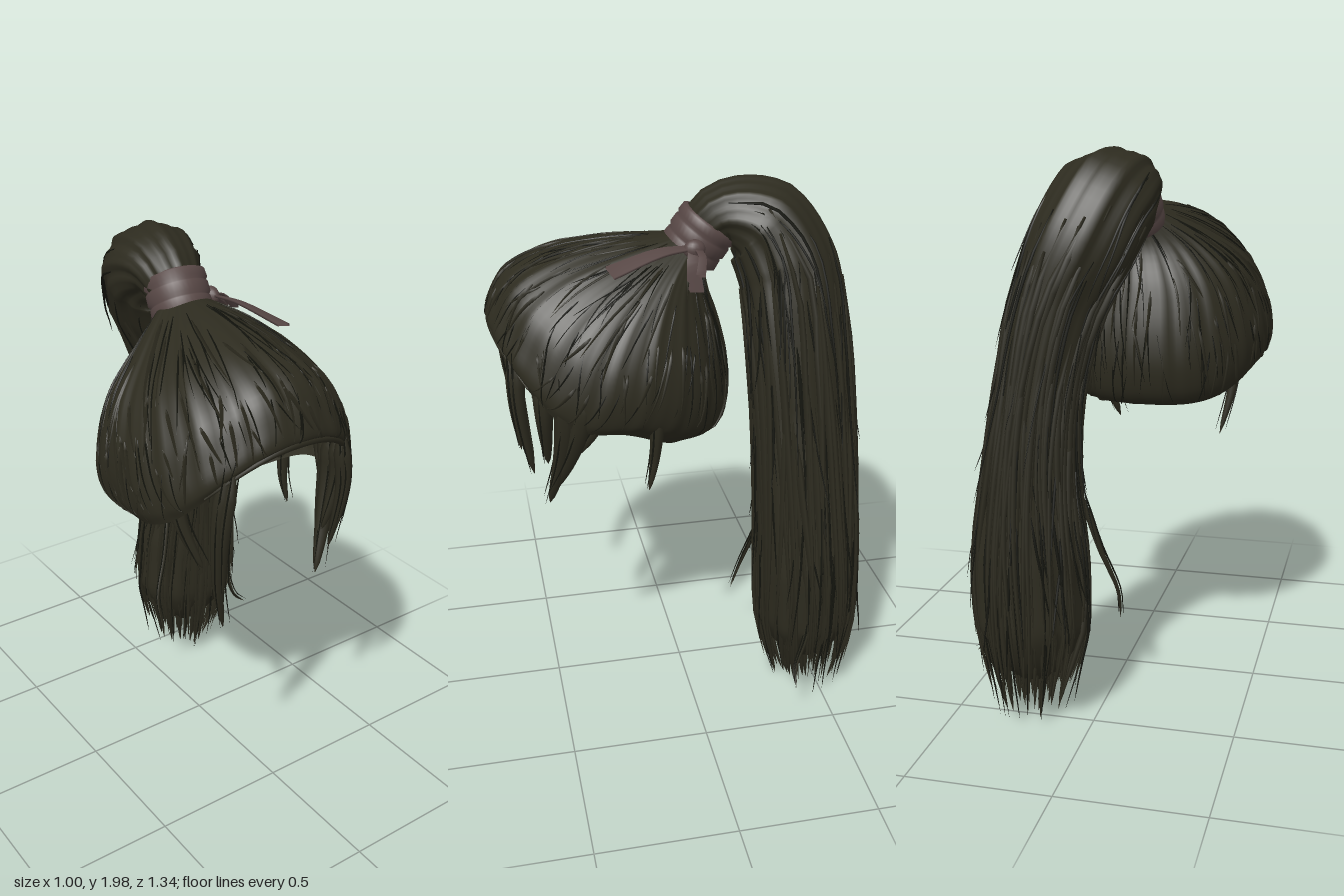
import * as THREE from 'three';
import { mergeGeometries } from 'three/addons/utils/BufferGeometryUtils.js';

const V = (x, y, z) => new THREE.Vector3(x, y, z);
const { lerp } = THREE.MathUtils;
let seed = 7;
const rand = (a = 0, b = 1) => {
  seed = (seed * 16807) % 2147483647;
  return a + (b - a) * (seed / 2147483647);
};

// Surface from rows of points, closed around each row
function skin(rows) {
  const n = rows[0].length, index = [];
  for (let i = 0; i < rows.length - 1; i++)
    for (let j = 0; j < n; j++) {
      const k = (j + 1) % n, a = i * n + j, b = i * n + k;
      index.push(a, b, a + n, b, b + n, a + n);
    }
  const g = new THREE.BufferGeometry().setFromPoints(rows.flat());
  g.setIndex(index);
  g.computeVertexNormals();
  return g;
}

// Round tube along a curve with radius(u)
function loft(curve, radius, segs, sides) {
  const f = curve.computeFrenetFrames(segs), rows = [];
  for (let i = 0; i <= segs; i++) {
    const p = curve.getPointAt(i / segs), r = radius(i / segs), row = [];
    for (let j = 0; j < sides; j++) {
      const a = (j / sides) * Math.PI * 2;
      row.push(p.clone().addScaledVector(f.normals[i], r * Math.cos(a)).addScaledVector(f.binormals[i], r * Math.sin(a)));
    }
    rows.push(row);
  }
  return skin(rows);
}

// Strand that swells from its root and tapers to a point
const strand = (points, r, segs = 10, sides = 4) =>
  loft(new THREE.CatmullRomCurve3(points), u => r * Math.min(1, 0.3 + u * 4) * Math.sqrt(Math.max(0.0004, 1 - u)), segs, sides);

// Cap rings, tie to hairline: centre x, half width, front z, back z, then front, side and back heights
const RINGS = [
  [-0.04, 0.08, 0.03, -0.10, 1.81, 1.79, 1.76],
  [-0.06, 0.23, 0.25, -0.09, 1.80, 1.69, 1.65],
  [-0.08, 0.34, 0.46, -0.14, 1.765, 1.575, 1.51],
  [-0.08, 0.40, 0.60, -0.18, 1.70, 1.45, 1.35],
  [-0.08, 0.42, 0.66, -0.185, 1.61, 1.34, 1.21],
  [-0.08, 0.41, 0.68, -0.15, 1.54, 1.255, 1.11],
  [-0.08, 0.385, 0.66, -0.03, 1.52, 1.22, 1.07],
];
const CENTRE = V(-0.08, 1.4, 0.25);

// Line of hair from the tie to the hairline at angle a (0 = front, +90 degrees = left)
function meridian(a) {
  const s = Math.sin(a), c = Math.cos(a), front = c > 0, w = Math.abs(s) ** (front ? 2 : 4);
  return new THREE.CatmullRomCurve3(RINGS.map(([x, rx, zf, zb, yf, ys, yb], i) => {
    const e = !front ? 1 : i > 4 ? 0.88 : 0.95;
    return V(
      x + rx * Math.sign(s) * Math.abs(s) ** e,
      lerp(front ? yf : yb, ys, w),
      (zf + zb) / 2 + ((zf - zb) / 2) * Math.sign(c) * Math.abs(c) ** e);
  }));
}

function capGeometry() {
  const cols = 180, steps = 30, rows = Array.from({ length: steps + 1 }, () => []);
  for (let j = 0; j < cols; j++) {
    const a = -(j / cols) * Math.PI * 2, m = meridian(a);
    for (let i = 0; i <= steps; i++) {
      const t = i / steps;
      const k = 1 + (0.006 * Math.sin(23 * a) + 0.004 * Math.sin(41 * a + 1)) * Math.sin(Math.PI * t);
      rows[i].push(m.getPoint(t).sub(CENTRE).multiplyScalar(k).add(CENTRE));
    }
  }
  return skin(rows);
}

// Strand lying on the cap
function capStrand(r, lift) {
  const a = rand(0, Math.PI * 2), drift = rand(-0.15, 0.15);
  const t0 = rand(0.03, 0.65), t1 = Math.min(0.96, t0 + rand(0.15, 0.45)), pts = [];
  for (let i = 0; i <= 4; i++) {
    const k = 1.002 + lift * (i / 4) ** 2;
    pts.push(meridian(a + drift * i / 4).getPoint(lerp(t0, t1, i / 4)).sub(CENTRE).multiplyScalar(k).add(CENTRE));
  }
  return strand(pts, r, 8, 3);
}

// Ponytail path: x, y, z, radius, sideways stretch
const TAIL = [
  [-0.04, 1.78, -0.07, 0.085, 1], [-0.035, 1.865, -0.16, 0.115, 1.15], [-0.005, 1.835, -0.29, 0.165, 1.1],
  [0.06, 1.69, -0.37, 0.178, 1.02], [0.14, 1.5, -0.39, 0.178, 0.86], [0.205, 1.2, -0.41, 0.18, 0.78],
  [0.235, 0.9, -0.425, 0.185, 0.88], [0.24, 0.6, -0.44, 0.19, 1.06], [0.23, 0.35, -0.45, 0.185, 1.1],
  [0.23, 0.17, -0.46, 0.155, 1], [0.23, 0.03, -0.47, 0.12, 0.95],
];
const tailCurve = new THREE.CatmullRomCurve3(TAIL.map(p => V(p[0], p[1], p[2])));
const TAIL_STEPS = 80, tailFrames = tailCurve.computeFrenetFrames(TAIL_STEPS);
function tailValue(u, column) {
  const t = tailCurve.getUtoTmapping(u) * (TAIL.length - 1), i = Math.min(TAIL.length - 2, Math.floor(t));
  return lerp(TAIL[i][column], TAIL[i + 1][column], t - i);
}

// Point at distance k radii (plus a gap) from the middle of the ponytail
function tailPoint(u, a, k, gap = 0) {
  const f = Math.round(u * TAIL_STEPS), d = tailValue(u, 3) * k + gap;
  const offset = tailFrames.normals[f].clone().multiplyScalar(Math.cos(a)).addScaledVector(tailFrames.binormals[f], Math.sin(a));
  offset.multiplyScalar(d).x *= tailValue(u, 4);
  return offset.add(tailCurve.getPointAt(u));
}

function tailGeometry() {
  const rows = [], sides = 72, last = 76;
  for (let i = 0; i <= last; i++) {
    const u = i / TAIL_STEPS, close = Math.max(0, (i - 66) / (last - 66));
    const k = Math.sqrt(Math.max(0.001, 1 - close ** 2)), row = [];
    for (let j = 0; j < sides; j++) {
      const a = (j / sides) * Math.PI * 2;
      row.push(tailPoint(u, a, k * (0.98 + 0.03 * Math.sin(9 * a + u * 3) + 0.02 * Math.sin(17 * a + 1))));
    }
    rows.push(row);
  }
  return skin(rows);
}

// Strand running down the ponytail, loosening towards its end
function tailStrand(r, u0, u1, flare, depth = rand(0.95, 1.02)) {
  const a = rand(0, Math.PI * 2), drift = rand(-0.4, 0.4), pts = [];
  for (let i = 0; i <= 7; i++) {
    const k = i / 7;
    pts.push(tailPoint(lerp(u0, u1, k), a + drift * k, depth, flare * k ** 3));
  }
  return strand(pts, r, 14, 4);
}

// Flat ribbon following a path, spread sideways by a direction
function ribbon(points, side, w0, w1) {
  const c = new THREE.CatmullRomCurve3(points), rows = [], up = V(0, 0.004, 0);
  for (let i = 0; i <= 8; i++) {
    const p = c.getPoint(i / 8), w = lerp(w0, w1, i / 8);
    const l = p.clone().addScaledVector(side, -w), r = p.clone().addScaledVector(side, w);
    rows.push([l.clone().sub(up), r.clone().sub(up), r.add(up), l.add(up)]);
  }
  return skin(rows);
}

export function createModel() {
  seed = 7;
  const group = new THREE.Group();
  const material = (name, color) => Object.assign(new THREE.MeshStandardMaterial({ color, side: THREE.DoubleSide }), { name });
  const hair = material('hair', 0x2d2b1f), dark = material('darkStrands', 0x15160f), cloth = material('ribbon', 0x574745);
  const add = (name, geometry, mat) => {
    const m = new THREE.Mesh(geometry, mat);
    m.name = name;
    group.add(m);
    return m;
  };
  const many = (n, make) => mergeGeometries(Array.from({ length: n }, (_, i) => make(i)));

  // Cap of swept-back hair
  add('cap', capGeometry(), hair);
  add('capStrands', many(110, () => capStrand(rand(0.006, 0.01), rand(0, 0.006))), hair);
  add('capDarkStrands', many(150, () => capStrand(rand(0.003, 0.005), rand(0.002, 0.01))), dark);
  const rim = Array.from({ length: 13 }, (_, i) => meridian(lerp(-0.8, 0.8, i / 12)).getPoint(0.95));
  add('hairlineRoll', loft(new THREE.CatmullRomCurve3(rim), u => 0.004 + 0.01 * Math.sin(Math.PI * u), 30, 8), hair);

  // Ponytail body, its loose strands and ragged end
  add('ponytail', tailGeometry(), hair);
  add('ponytailStrands', many(90, () => tailStrand(rand(0.01, 0.018), rand(0.1, 0.5), rand(0.84, 0.98), rand(-0.01, 0.02))), hair);
  add('ponytailTips', many(80, () => tailStrand(rand(0.014, 0.022), rand(0.68, 0.8), rand(0.92, 1), rand(-0.01, 0.015), rand(0.3, 1))), hair);
  add('ponytailDarkStrands', many(140, () => {
    const u0 = rand(0.06, 0.75);
    return tailStrand(rand(0.004, 0.007), u0, Math.min(1, u0 + rand(0.15, 0.45)), rand(-0.01, 0.045));
  }), dark);

  // Locks framing the face, small locks behind the ears, and wisps off the ponytail
  const locks = [
    [0.034, [-0.31, 1.48, 0.6], [-0.33, 1.27, 0.585], [-0.315, 1.03, 0.56], [-0.27, 0.83, 0.53]],
    [0.024, [-0.3, 1.46, 0.62], [-0.325, 1.25, 0.61], [-0.3, 1.0, 0.57]],
    [0.035, [-0.4, 1.4, 0.43], [-0.39, 1.24, 0.46], [-0.34, 1.08, 0.51]],
    [0.032, [0.15, 1.48, 0.6], [0.17, 1.27, 0.6], [0.16, 1.02, 0.56]],
    [0.02, [0.15, 1.46, 0.62], [0.17, 1.3, 0.62], [0.16, 1.12, 0.6]],
    [0.048, [0.25, 1.42, 0.45], [0.25, 1.25, 0.45], [0.21, 1.08, 0.47], [0.15, 0.89, 0.51]],
    [0.046, [0.28, 1.4, 0.39], [0.28, 1.26, 0.4], [0.23, 1.1, 0.44], [0.17, 0.95, 0.495]],
    [0.04, [0.21, 1.42, 0.52], [0.22, 1.27, 0.52], [0.17, 1.06, 0.51]],
    [0.03, [0.29, 1.36, 0.33], [0.29, 1.25, 0.35], [0.25, 1.12, 0.42]],
    [0.032, [0.28, 1.34, 0.13], [0.285, 1.2, 0.14], [0.28, 1.08, 0.15], [0.29, 0.98, 0.17]],
    [0.014, [0.08, 0.8, -0.34], [0.03, 0.6, -0.3], [-0.03, 0.42, -0.26], [-0.03, 0.3, -0.22]],
    [0.014, [0.4, 0.5, -0.42], [0.42, 0.35, -0.4], [0.44, 0.22, -0.36], [0.49, 0.17, -0.35]],
  ];
  add('looseLocks', many(locks.length, i => {
    const [r, ...pts] = locks[i];
    return strand(pts.map(p => V(...p)), r, 16, 8);
  }), hair);
  add('lockDarkStrands', many(locks.length * 2, i => {
    const [r, ...pts] = locks[i >> 1], dx = (i % 2 ? 1 : -1) * r * 0.6;
    return strand(pts.map(p => V(p[0] + dx, p[1] + 0.01, p[2] + r * 0.4)), 0.005, 12, 4);
  }), dark);

  // Ribbon wound around the tie
  const wrap = new THREE.Group();
  wrap.name = 'ribbonWrap';
  wrap.position.set(-0.035, 1.79, -0.075);
  wrap.rotation.set(-0.6, 0, -0.08);
  const profile = [[0.098, -0.075], [0.112, -0.064], [0.109, -0.03], [0.103, -0.024], [0.113, -0.012],
    [0.112, 0.022], [0.105, 0.028], [0.114, 0.04], [0.112, 0.068], [0.098, 0.075]];
  wrap.add(add('ribbonBand', new THREE.LatheGeometry(profile.map(p => new THREE.Vector2(...p)), 40), cloth));
  group.add(wrap);

  // Knot and ribbon ends
  const knot = add('ribbonKnot', new THREE.SphereGeometry(0.035, 16, 12), cloth);
  knot.position.set(0.075, 1.78, -0.035);
  knot.scale.set(0.8, 1, 1.1);
  add('longRibbonEnd', ribbon([V(0.075, 1.785, -0.02), V(0.105, 1.785, 0.09), V(0.16, 1.745, 0.27)], V(0.93, -0.25, -0.27), 0.012, 0.036), cloth);
  add('shortRibbonEnd', ribbon([V(0.075, 1.785, -0.03), V(0.12, 1.745, -0.02), V(0.145, 1.655, -0.025)], V(0.1, 0.1, 0.99), 0.014, 0.03), cloth);
  add('backRibbonEnd', ribbon([V(0.075, 1.785, -0.04), V(0.13, 1.77, -0.05), V(0.18, 1.72, -0.035)], V(0.2, 0.2, 0.96), 0.012, 0.018), cloth);
  return group;
}
